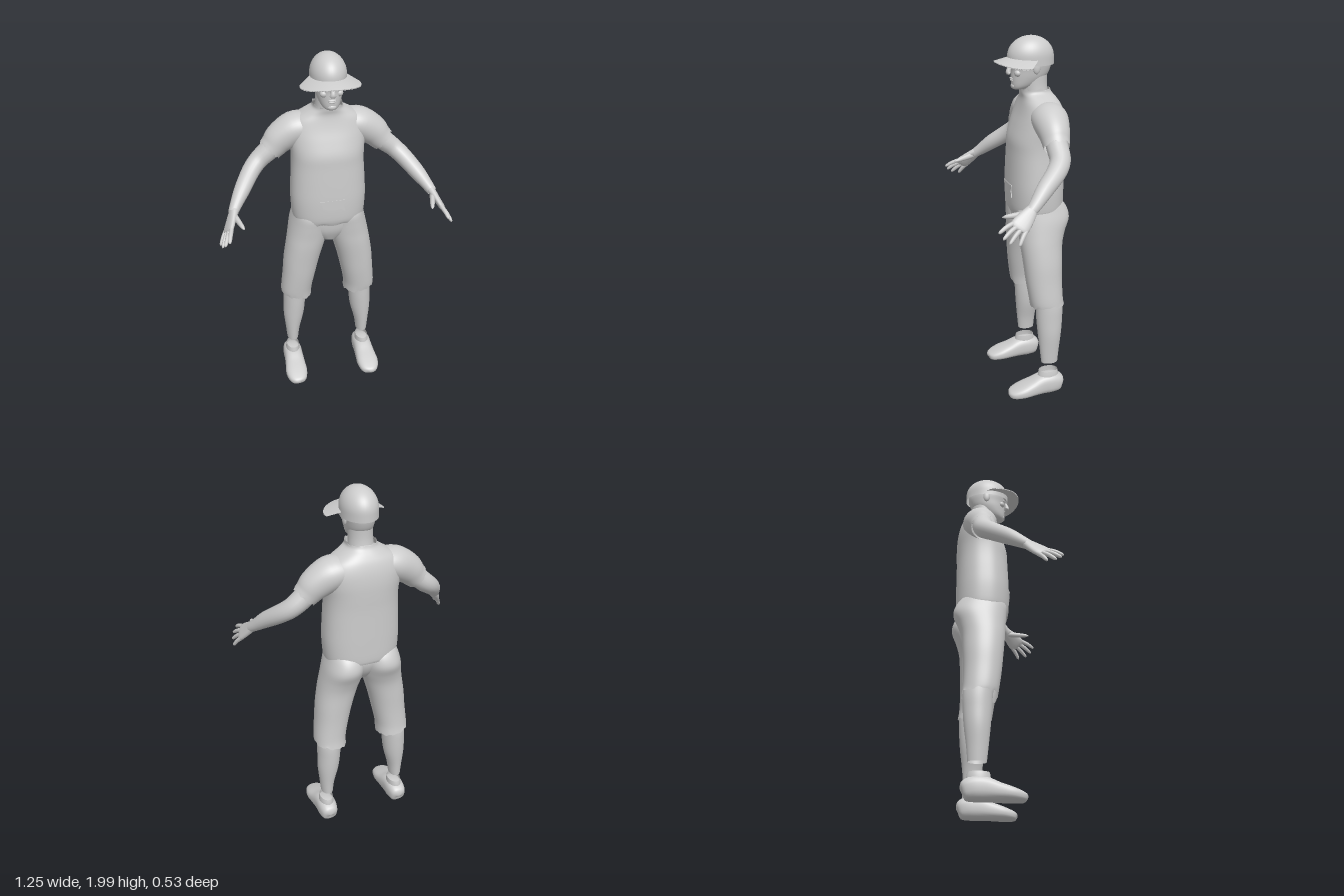
import * as THREE from 'three';

const clay = new THREE.MeshStandardMaterial({ color: 0xcccccc, side: THREE.DoubleSide });
clay.name = 'light grey';

// Smooth surface from f(angle, v); wraps around the angle when closed
function grid(nu, nv, f, closed = true) {
  const pos = [], idx = [], cols = closed ? nu : nu + 1;
  for (let j = 0; j <= nv; j++)
    for (let i = 0; i < cols; i++) pos.push(...f(i / nu * Math.PI * 2, j / nv));
  for (let j = 0; j < nv; j++)
    for (let i = 0; i < nu; i++) {
      const k = (i + 1) % cols, a = j * cols + i, b = j * cols + k;
      idx.push(a, b, b + cols, a, b + cols, a + cols);
    }
  const g = new THREE.BufferGeometry();
  g.setAttribute('position', new THREE.Float32BufferAttribute(pos, 3));
  g.setIndex(idx);
  g.computeVertexNormals();
  return g;
}

// Catmull-Rom interpolation through rows of numbers
function sample(rows, v) {
  const n = rows.length - 1, t = Math.min(Math.max(v, 0), 1) * n;
  const i = Math.min(Math.floor(t), n - 1), f = t - i;
  const r = k => rows[Math.min(Math.max(k, 0), n)];
  return rows[0].map((_, c) => {
    const [a, b, d, e] = [r(i - 1)[c], r(i)[c], r(i + 1)[c], r(i + 2)[c]];
    return b + 0.5 * f * (d - a + f * (2 * a - 5 * b + 4 * d - e + f * (3 * (b - d) + e - a)));
  });
}
const pow = (c, p) => Math.sign(c) * Math.abs(c) ** (2 / p);

// Upright loft, rows [y, centre x, half width, front z, back z] from bottom to top
function loft(rows, { p = 2, seg = 40, hem, collar } = {}) {
  const nv = (rows.length - 1) * 4;
  return grid(seg, nv, (a, v) => {
    const [y, x, rx, zf, zb] = sample(rows, v);
    let dy = hem ? hem(a) * Math.max(0, 1 - v * nv / 3) : 0;
    if (collar && v === 1) dy += collar(a);
    return [x + rx * pow(Math.cos(a), p), y + dy,
      (zf + zb) / 2 - (zf - zb) / 2 * pow(Math.sin(a), p) * -1 * -1];
  });
}

// Loft along a path, rows [x, y, z, radius along wide, radius across]
function limb(rows, wide = [0.7, 0.7, 0], { p = 2, seg = 20, hem } = {}) {
  const W = new THREE.Vector3(...wide), nv = (rows.length - 1) * 4;
  const at = v => new THREE.Vector3(...sample(rows, v).slice(0, 3));
  return grid(seg, nv, (a, v) => {
    const t = at(v + 0.02).sub(at(v - 0.02)).normalize();
    const w = W.clone().addScaledVector(t, -W.dot(t)).normalize();
    const n = t.clone().cross(w), s = sample(rows, v);
    const q = at(v).addScaledVector(w, Math.max(s[3], 0) * pow(Math.cos(a), p))
      .addScaledVector(n, Math.max(s[4], 0) * pow(Math.sin(a), p));
    if (hem && v === 1) q.addScaledVector(t, hem(a));
    return q.toArray();
  });
}

// Uneven torn edge
const ragged = size => a => size * (Math.sin(a * 7 + 1) * 0.5 + Math.sin(a * 13) * 0.6 + Math.sin(a * 5 + 2) * 0.4);

function blob(x, y, z, sx, sy, sz) {
  return new THREE.SphereGeometry(1, 20, 14).scale(sx, sy, sz).translate(x, y, z);
}

export function createModel() {
  const model = new THREE.Group();
  const add = (name, g) => {
    const m = new THREE.Mesh(g, clay);
    m.name = name;
    model.add(m);
  };
  const pair = (name, g) => {
    add('left ' + name, g);
    const r = g.clone().scale(-1, 1, 1), ix = r.index;
    for (let i = 0; i < ix.count; i += 3) {
      const b = ix.getX(i + 1);
      ix.setX(i + 1, ix.getX(i + 2));
      ix.setX(i + 2, b);
    }
    add('right ' + name, r);
  };

  // Head, face and neck
  add('neck', loft([[1.62, 0, 0.075, -0.04, -0.185], [1.7, 0, 0.066, -0.04, -0.175],
    [1.76, 0, 0.062, -0.035, -0.168], [1.84, 0, 0.064, -0.03, -0.172]]));
  add('head', loft([[1.725, 0, 0, 0, -0.02], [1.73, 0, 0.03, 0.015, -0.05], [1.75, 0, 0.05, 0.022, -0.1],
    [1.79, 0, 0.066, 0.025, -0.16], [1.83, 0, 0.074, 0.026, -0.183], [1.87, 0, 0.08, 0.034, -0.19],
    [1.92, 0, 0.078, 0.03, -0.18]], { p: 2.2 }));
  add('nose', limb([[0, 1.87, 0.02, 0.005, 0.005], [0, 1.85, 0.03, 0.008, 0.008],
    [0, 1.82, 0.04, 0.014, 0.013], [0, 1.81, 0.036, 0.016, 0.01], [0, 1.806, 0.03, 0, 0]], [1, 0, 0]));
  add('upper lip', blob(0, 1.785, 0.024, 0.022, 0.005, 0.008));
  add('lower lip', blob(0, 1.775, 0.022, 0.019, 0.006, 0.008));
  add('chin', blob(0, 1.745, 0.012, 0.024, 0.016, 0.014));
  pair('brow', blob(0.03, 1.862, 0.02, 0.024, 0.007, 0.012));
  pair('eye', blob(0.03, 1.845, 0.014, 0.014, 0.008, 0.01));
  pair('cheek', blob(0.04, 1.815, 0.002, 0.02, 0.018, 0.018));
  pair('ear', blob(0.078, 1.845, -0.088, 0.011, 0.034, 0.02));

  // Cap with a drooping brim
  add('cap crown', grid(40, 20, (a, v) => {
    const e = Math.max(0, v - 0.2) / 0.8 * Math.PI / 2, r = Math.cos(e);
    return [0.094 * r * Math.cos(a), v < 0.2 ? 1.853 + v * 0.2 : 1.893 + 0.107 * Math.sin(e),
      -0.08 - 0.124 * r * Math.sin(a)];
  }));
  add('cap brim', grid(4, 40, (a, v) => {
    const k = Math.round(a / Math.PI * 2) % 4, out = k === 1 || k === 2;
    const b = (v - 0.5) * Math.PI * 1.1, s = Math.sin(b), c = Math.cos(b);
    const x = (out ? 0.155 : 0.088) * s, z = out ? -0.02 + 0.13 * c : -0.075 + 0.118 * c;
    return [x, (out ? 1.872 : 1.892) - 0.8 * x * x - (k > 1 ? 0.005 : 0), z];
  }));

  // Shirt with torn hem, collar and cuffs
  const tear = ragged(0.009);
  add('shirt body', loft([[1.06, 0, 0.19, 0.03, -0.235], [1.1, 0, 0.2, 0.042, -0.248],
    [1.2, 0, 0.206, 0.046, -0.25], [1.3, 0, 0.202, 0.043, -0.25], [1.4, 0, 0.196, 0.038, -0.25],
    [1.47, 0, 0.197, 0.034, -0.252], [1.54, 0, 0.205, 0.013, -0.252], [1.6, 0, 0.205, -0.008, -0.245],
    [1.65, 0, 0.18, -0.022, -0.23], [1.685, 0, 0.125, -0.028, -0.21], [1.71, 0, 0.084, -0.024, -0.19],
    [1.73, 0, 0.078, -0.022, -0.182]], {
    p: 2.4, seg: 96, collar: ragged(0.006),
    hem: a => tear(a) + 0.035 * Math.abs(Math.cos(a)) ** 2 + (Math.sin(a) > 0 ? 0.035 * Math.sin(a) : 0)
  }));
  pair('sleeve', limb([[0.1, 1.605, -0.13, 0.07, 0.09], [0.17, 1.59, -0.13, 0.088, 0.096],
    [0.245, 1.545, -0.126, 0.083, 0.082], [0.285, 1.505, -0.122, 0.071, 0.071],
    [0.307, 1.483, -0.12, 0.066, 0.067]], [0.7, 0.7, 0], { seg: 48, hem: ragged(0.006) }));
  const patch = new THREE.Shape([[-0.07, 1.222], [0.065, 1.224], [0.06, 1.19], [0.068, 1.155], [0.04, 1.172],
    [0.02, 1.165], [-0.03, 1.17], [-0.055, 1.18], [-0.06, 1.2]].map(q => new THREE.Vector2(...q)));
  add('torn shirt patch', new THREE.ExtrudeGeometry(patch, { depth: 0.006, bevelEnabled: false }).translate(0, 0, 0.041));

  // Arms and hands
  pair('arm', limb([[0.25, 1.54, -0.123, 0.056, 0.056], [0.31, 1.48, -0.122, 0.055, 0.056],
    [0.37, 1.43, -0.115, 0.05, 0.053], [0.42, 1.385, -0.075, 0.047, 0.05], [0.475, 1.325, 0, 0.042, 0.044],
    [0.515, 1.275, 0.055, 0.032, 0.034], [0.537, 1.245, 0.09, 0.026, 0.028]]));
  const across = [0.36, -0.52, -0.77];
  pair('palm', limb([[0.53, 1.255, 0.08, 0.028, 0.022], [0.553, 1.217, 0.122, 0.042, 0.018],
    [0.575, 1.18, 0.165, 0.045, 0.014], [0.58, 1.172, 0.173, 0, 0]], across, { p: 2.4 }));
  [['index finger', [0.578, 1.165, 0.265]], ['middle finger', [0.6, 1.14, 0.25]],
    ['ring finger', [0.613, 1.118, 0.222]], ['little finger', [0.62, 1.105, 0.175]]].forEach(([name, tip], i) => {
    const k = (i - 1.5) * 0.024;
    const root = [0.572 + across[0] * k, 1.184 + across[1] * k, 0.16 + across[2] * k];
    const along = (s, r) => [...root.map((c, j) => c + (tip[j] - c) * s + (j === 1 ? 0.02 * s * (1 - s) : 0)), r, r];
    pair(name, limb([along(0, 0.012), along(0.5, 0.011), along(0.9, 0.008), along(1, 0)], across, { seg: 10 }));
  });
  pair('thumb', limb([[0.535, 1.235, 0.105, 0.018, 0.016], [0.517, 1.225, 0.16, 0.015, 0.013],
    [0.503, 1.218, 0.205, 0.01, 0.01], [0.496, 1.214, 0.226, 0, 0]], across, { seg: 12 }));

  // Knee-length trousers
  add('trouser seat', loft([[0.94, 0, 0.05, -0.02, -0.15], [1.0, 0, 0.14, 0.008, -0.2],
    [1.06, 0, 0.185, 0.018, -0.225], [1.12, 0, 0.185, 0.02, -0.225]], { p: 2.4 }));
  const fray = ragged(0.006);
  pair('trouser leg', loft([[0.55, 0.188, 0.088, -0.03, -0.217], [0.6, 0.186, 0.089, -0.022, -0.21],
    [0.7, 0.171, 0.094, -0.008, -0.208], [0.8, 0.155, 0.101, 0.002, -0.212], [0.9, 0.133, 0.107, 0.012, -0.219],
    [0.97, 0.117, 0.11, 0.016, -0.238], [1.04, 0.107, 0.106, 0.022, -0.265], [1.1, 0.1, 0.097, 0.024, -0.25],
    [1.15, 0.1, 0.085, 0, -0.21]], { p: 2.2, seg: 64, hem: a => 0.015 * Math.cos(a) + fray(a) }));

  // Bare lower legs, ending above the shoes
  pair('lower leg', loft([[0.203, 0.216, 0.033, -0.085, -0.18], [0.28, 0.214, 0.042, -0.077, -0.187],
    [0.38, 0.206, 0.059, -0.067, -0.2], [0.47, 0.2, 0.064, -0.06, -0.207], [0.56, 0.196, 0.065, -0.055, -0.208],
    [0.68, 0.18, 0.066, -0.04, -0.19]]));

  // Shoes
  pair('shoe', limb([[0.22, 0.055, -0.206, 0, 0], [0.22, 0.058, -0.198, 0.04, 0.044], [0.22, 0.07, -0.15, 0.055, 0.06],
    [0.22, 0.069, -0.09, 0.056, 0.059], [0.221, 0.057, -0.03, 0.06, 0.047], [0.223, 0.046, 0.03, 0.064, 0.037],
    [0.222, 0.036, 0.08, 0.052, 0.027], [0.221, 0.032, 0.104, 0.03, 0.018], [0.22, 0.03, 0.111, 0, 0]],
  [1, 0, 0], { p: 2.6, seg: 32 }));
  pair('shoe collar', loft([[0.09, 0.22, 0.043, -0.06, -0.188], [0.13, 0.219, 0.04, -0.066, -0.184],
    [0.152, 0.218, 0.037, -0.07, -0.179]]));

  return model;
}
